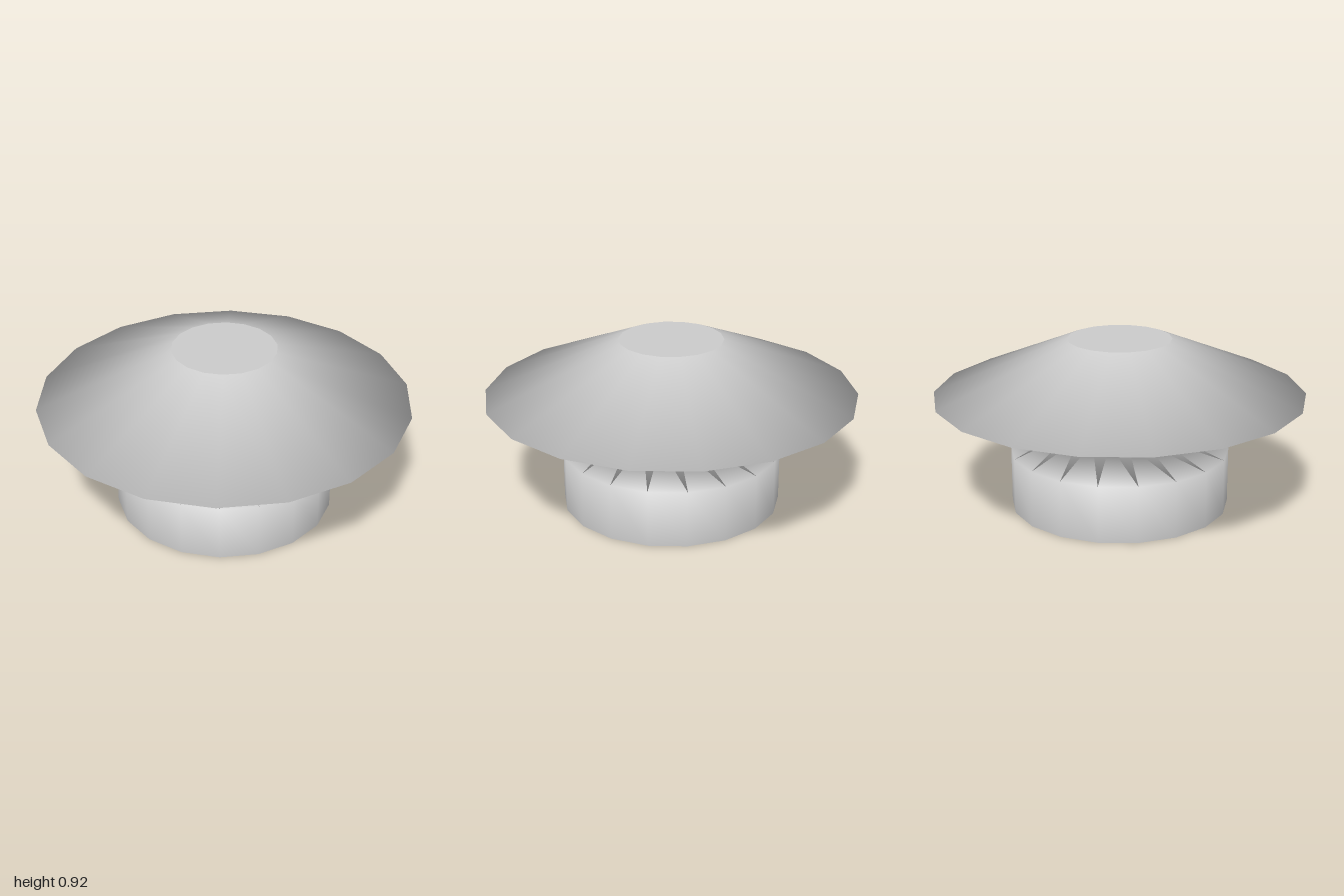
import * as THREE from 'three';

const SIDES = 18;

export function createModel() {
  const group = new THREE.Group();
  const material = new THREE.MeshStandardMaterial({ color: 0xcccccc });

  const add = (name, geometry) => {
    const mesh = new THREE.Mesh(geometry, material);
    mesh.name = name;
    group.add(mesh);
    return mesh;
  };

  // Turned body: base wall, base shoulder, neck, flared rim, sloping top
  const profile = [
    [0.592, 0], [0.592, 0.306], [0.28, 0.417], [1, 0.618], [0.28, 0.92],
  ].map(([r, y]) => new THREE.Vector2(r, y));
  add('body', new THREE.LatheGeometry(profile, SIDES, Math.PI / 2));

  // Flat discs closing both ends
  const top = add('topCap', new THREE.CircleGeometry(0.28, SIDES));
  top.rotation.x = -Math.PI / 2;
  top.position.y = 0.92;

  const bottom = add('bottomCap', new THREE.CircleGeometry(0.592, SIDES));
  bottom.rotation.x = Math.PI / 2;

  return group;
}
